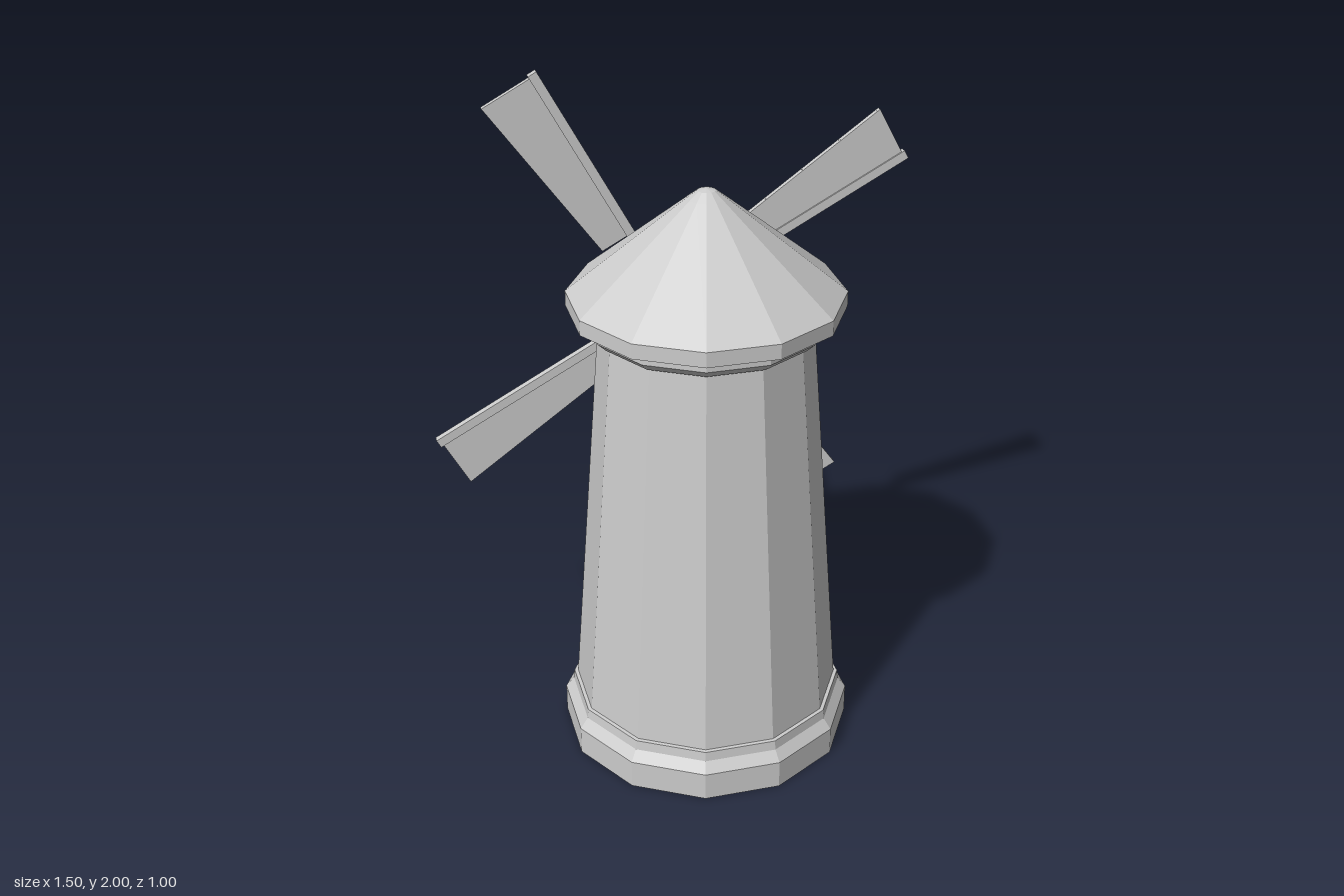
import * as THREE from 'three';

const SIDES = 12;
const CENTRE_Z = 0.07;
const HUB_Y = 1.25;

export function createModel() {
  const model = new THREE.Group();
  model.name = 'windmill';
  const stone = new THREE.MeshStandardMaterial({ color: 0xcccccc, flatShading: true });
  stone.name = 'plain grey';

  const add = (parent, name, geometry) => {
    const mesh = new THREE.Mesh(geometry, stone);
    mesh.name = name;
    parent.add(mesh);
    return mesh;
  };

  // Box given by its limits on each axis
  const box = (parent, name, x0, x1, y0, y1, z0, z1) => {
    const mesh = add(parent, name, new THREE.BoxGeometry(x1 - x0, y1 - y0, z1 - z0));
    mesh.position.set((x0 + x1) / 2, (y0 + y1) / 2, (z0 + z1) / 2);
    return mesh;
  };

  // Twelve-sided body from [distance to flat side, height] points
  const turned = (name, profile) => {
    const k = 1 / Math.cos(Math.PI / SIDES);
    const points = profile.map(([a, y]) => new THREE.Vector2(a * k, y));
    const mesh = add(model, name, new THREE.LatheGeometry(points, SIDES, Math.PI / SIDES));
    mesh.position.z = CENTRE_Z;
  };

  // Plinth, tapering wall, collar and roof
  turned('plinth', [[0, 0], [0.427, 0], [0.427, 0.088], [0.403, 0.12], [0.4, 0.15], [0.38, 0.152]]);
  turned('towerWall', [[0.39, 0.14], [0.299, 1.35]]);
  turned('collar', [[0.29, 1.345], [0.31, 1.345], [0.335, 1.37], [0.335, 1.412]]);
  turned('roof', [[0.325, 1.41], [0.386, 1.41], [0.386, 1.455], [0.052, 1.735], [0.025, 1.757], [0, 1.763]]);

  // Door with frame, two leaves and a step at the back
  const door = new THREE.Group();
  door.name = 'door';
  model.add(door);
  box(door, 'doorStep', -0.155, 0.155, 0, 0.045, -0.5, -0.3);
  box(door, 'doorFrame', -0.1, 0.1, 0.04, 0.415, -0.344, -0.28);
  box(door, 'doorLintel', -0.108, 0.108, 0.41, 0.44, -0.346, -0.27);
  box(door, 'lowerLeaf', -0.078, 0.078, 0.045, 0.226, -0.355, -0.34);
  box(door, 'upperLeaf', -0.078, 0.078, 0.232, 0.41, -0.355, -0.34);
  box(door, 'doorHandle', -0.062, -0.048, 0.222, 0.238, -0.364, -0.35);

  // Two windows, each a frame around a pane, with a sill
  [[0.635, -0.3], [1.015, -0.272]].forEach(([y, z]) => {
    const win = new THREE.Group();
    win.name = 'window';
    model.add(win);
    box(win, 'windowPane', -0.04, 0.04, y + 0.01, y + 0.13, z - 0.002, z + 0.04);
    for (const s of [-1, 1]) {
      box(win, 'windowJamb', s * 0.046 - 0.01, s * 0.046 + 0.01, y, y + 0.145, z - 0.012, z + 0.04);
    }
    box(win, 'windowHead', -0.056, 0.056, y + 0.125, y + 0.145, z - 0.012, z + 0.04);
    box(win, 'windowSill', -0.066, 0.066, y - 0.01, y + 0.006, z - 0.038, z + 0.03);
  });

  // Sail wheel
  const wheel = new THREE.Group();
  wheel.name = 'sailWheel';
  wheel.position.set(0, HUB_Y, -0.35);
  model.add(wheel);
  box(wheel, 'hub', -0.046, 0.046, -0.05, 0.05, -0.046, 0.008);

  const inner = 0.26, outer = 0.834;
  const widthAt = (r) => 0.1 + (r - inner) * 0.129;

  // Flat four-cornered plate between two depths
  const plate = (parent, name, corners, z0, z1) => {
    const shape = new THREE.Shape(corners.map(([x, y]) => new THREE.Vector2(x, y)));
    const geometry = new THREE.ExtrudeGeometry(shape, { depth: z1 - z0, bevelEnabled: false });
    add(parent, name, geometry.translate(0, 0, z0));
  };

  for (let i = 0; i < 4; i++) {
    const sail = new THREE.Group();
    sail.name = 'sail';
    sail.rotation.z = THREE.MathUtils.degToRad(28.4) + i * Math.PI / 2;
    wheel.add(sail);
    box(sail, 'spar', 0, 0.843, -0.014, 0.014, -0.012, 0.011);

    const w0 = widthAt(inner), w1 = widthAt(outer);
    plate(sail, 'sailBoard', [[inner, 0], [outer, 0], [outer, w1], [inner, w0]], -0.003, 0.006);
    plate(sail, 'outerRail', [[inner, w0 - 0.01], [outer, w1 - 0.01], [outer, w1], [inner, w0]], -0.011, 0);

    // Cross bars dividing the sail into four panels
    for (let j = 0; j <= 4; j++) {
      const r = inner + 0.006 + (outer - inner - 0.012) * j / 4;
      box(sail, 'crossBar', r - 0.006, r + 0.006, 0, widthAt(r), -0.011, 0);
    }
  }

  return model;
}
